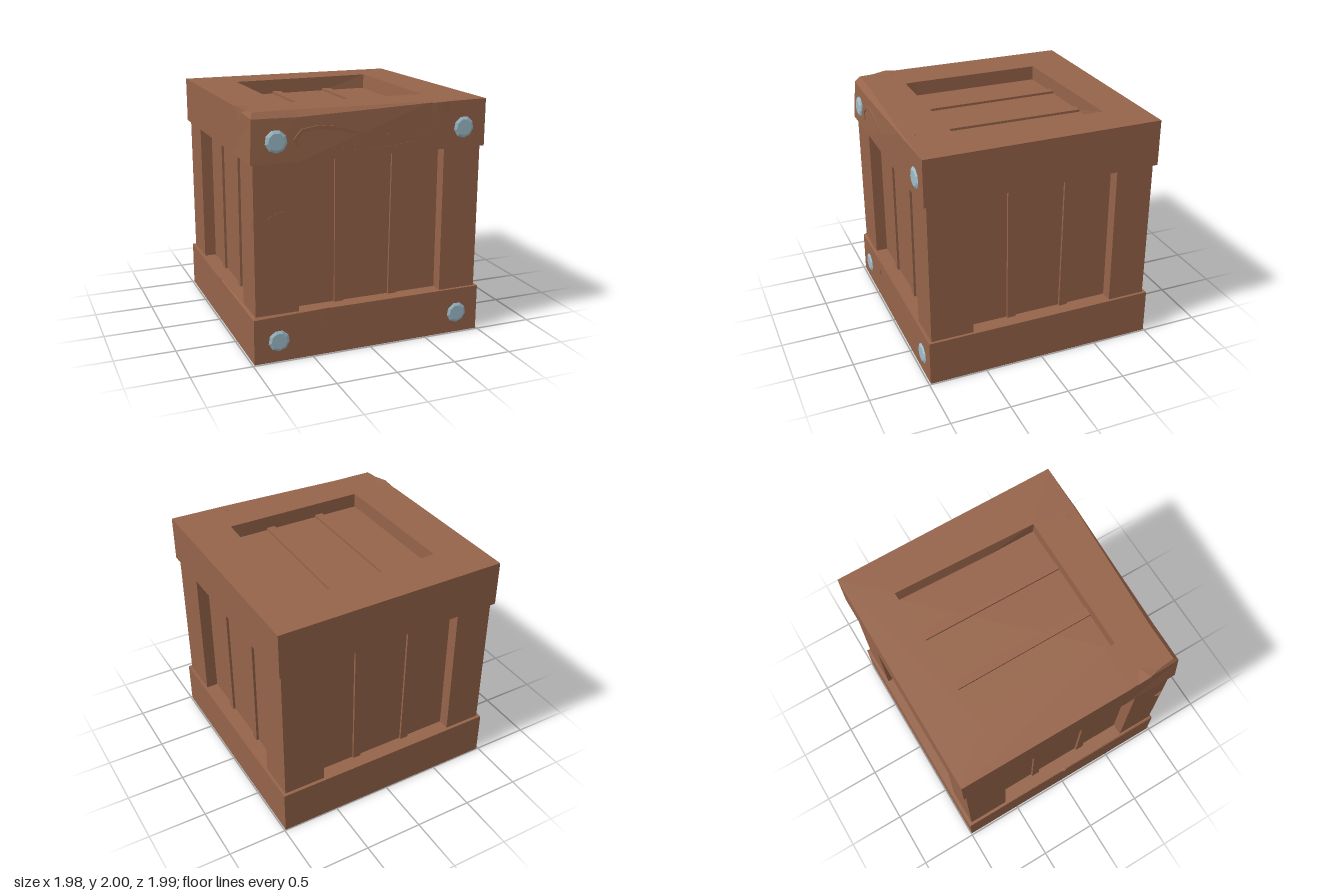
import * as THREE from 'three';
import { ConvexGeometry } from 'three/addons/geometries/ConvexGeometry.js';

const wood = new THREE.MeshStandardMaterial({ color: 0x96644a, name: 'wood' });
const steel = new THREE.MeshStandardMaterial({ color: 0x9fbecb, name: 'boltSteel' });

function add(parent, geometry, name, material = wood) {
  const mesh = new THREE.Mesh(geometry, material);
  mesh.name = name;
  parent.add(mesh);
  return mesh;
}

// Box given by its limits
function block(x0, x1, y0, y1, z0, z1) {
  return new THREE.BoxGeometry(x1 - x0, y1 - y0, z1 - z0)
    .translate((x0 + x1) / 2, (y0 + y1) / 2, (z0 + z1) / 2);
}

// Square ring from cross-sections that run up the outside, over the top and down the inside
function ring(sections) {
  const pos = [];
  sections.forEach((a, i) => {
    const b = sections[(i + 1) % sections.length];
    a.forEach((p, j) => {
      const k = (j + 1) % a.length;
      pos.push(...p, ...b[j], ...b[k], ...p, ...b[k], ...a[k]);
    });
  });
  const g = new THREE.BufferGeometry();
  g.setAttribute('position', new THREE.Float32BufferAttribute(pos, 3));
  g.computeVertexNormals();
  return g;
}

// One ring section: outer foot, worn shoulder, top edge, hole at top and at bottom
function section(y0, y1, [ox, oz], [ix, iz], shoulder = [ox, y1 - 0.004, oz], top = [ox, oz], rim = [ix, iz]) {
  return [[ox, y0, oz], shoulder, [top[0], y1, top[1]], [rim[0], y1, rim[1]], [ix, y0, iz]];
}

function hull(points) {
  return new ConvexGeometry(points.map(p => new THREE.Vector3(...p)));
}

// Thin flat shape on the front
function plate(points, z, depth) {
  const shape = new THREE.Shape(points.map(p => new THREE.Vector2(...p)));
  return new THREE.ExtrudeGeometry(shape, { depth, bevelEnabled: false }).translate(0, 0, z);
}

// Two battens on a panel facing +z, the right one leaning
function battens(parent, y0, y1, z, name) {
  const group = new THREE.Group();
  group.name = name;
  add(group, block(-0.272, -0.2, y0, y1, z - 0.02, z + 0.02), 'straightBatten');
  const g = block(0.21, 0.283, y0, y1, z - 0.02, z + 0.02);
  const p = g.attributes.position;
  for (let i = 0; i < p.count; i++) p.setX(i, p.getX(i) + (p.getY(i) > (y0 + y1) / 2 ? 0.008 : -0.008));
  g.computeVertexNormals();
  add(group, g, 'leaningBatten');
  parent.add(group);
  return group;
}

export function createModel() {
  const crate = new THREE.Group();
  crate.name = 'crate';

  // Inner panels
  add(crate, block(-0.86, 0.865, 0.11, 1.86, -0.868, 0.86), 'innerPanels');

  // Corner posts and battens, repeated on each side
  for (let i = 0; i < 4; i++) {
    const side = new THREE.Group();
    side.name = 'side' + (i + 1);
    side.position.set(0.003, 0, -0.004);
    side.rotation.y = i * Math.PI / 2;
    add(side, block(0.637, 0.963, 0.3, 1.7, 0.605, 0.963), 'cornerPost');
    battens(side, 0.3, 1.7, 0.863, 'sideBattens');
    crate.add(side);
  }
  const lid = battens(crate, -0.64, 0.64, 0, 'lidBattens');
  lid.rotation.x = -Math.PI / 2;
  lid.position.y = 1.86;

  // Upper frame, worn along the front edge and at the front left corner
  const u = (...a) => section(1.6, 1.985, ...a);
  add(crate, ring([
    u([-0.985, -0.995], [-0.61, -0.62]),
    u([-0.985, 0.5], [-0.61, 0.5]),
    u([-0.985, 0.985], [-0.605, 0.6], [-0.965, 1.94, 0.962], [-0.945, 0.92]),
    u([-0.6, 0.985], [-0.6, 0.6], [-0.6, 1.935, 0.967], [-0.6, 0.92]),
    u([0.48, 0.985], [0.48, 0.605], [0.48, 1.978, 0.984], [0.48, 0.972]),
    u([0.99, 0.985], [0.61, 0.607]),
    u([0.99, -0.995], [0.61, -0.62], undefined, undefined, [0.65, -0.66]),
  ]), 'upperFrame');

  // Lower frame, slightly worn at the front left
  const l = (...a) => section(0, 0.388, ...a);
  add(crate, ring([
    l([-0.985, -0.995], [-0.61, -0.62]),
    l([-0.985, 0.985], [-0.61, 0.61], [-0.983, 0.372, 0.983], [-0.97, 0.965]),
    l([-0.4, 0.985], [-0.4, 0.61]),
    l([0.99, 0.985], [0.61, 0.61]),
    l([0.99, -0.995], [0.61, -0.62]),
  ]), 'lowerFrame');

  // Bolts with chamfered heads
  for (const x of [-0.78, 0.797]) for (const y of [0.175, 1.765]) {
    const head = new THREE.CylinderGeometry(0.066, 0.088, 0.012, 9).rotateX(Math.PI / 2).toNonIndexed();
    head.computeVertexNormals();
    add(crate, head, 'boltHead', steel).position.set(x, y, 0.992);
    const shank = new THREE.CylinderGeometry(0.088, 0.088, 0.03, 9).rotateX(Math.PI / 2);
    add(crate, shank, 'boltRim', steel).position.set(x, y, 0.971);
  }

  // Carved grain on the upper front board
  add(crate, plate([
    [-0.6, 1.7], [-0.615, 1.77], [-0.56, 1.815], [-0.45, 1.835], [-0.32, 1.82], [-0.05, 1.755], [0.27, 1.72],
    [0.54, 1.755], [0.54, 1.785], [0.27, 1.75], [-0.05, 1.78], [-0.3, 1.85], [-0.44, 1.867], [-0.58, 1.845], [-0.645, 1.77],
  ], 0.96, 0.026), 'longGrain');
  add(crate, plate([
    [-0.37, 1.7], [-0.32, 1.66], [-0.08, 1.63], [0.18, 1.645], [0.34, 1.685], [0.15, 1.66], [-0.07, 1.65], [-0.3, 1.678],
  ], 0.96, 0.027), 'shortGrain');

  // Splintered dents on the edges
  add(crate, hull([
    [0.43, 1.98, 0.978], [0.51, 1.988, 0.87], [0.66, 1.98, 0.985], [0.665, 1.93, 0.984],
    [0.6, 1.89, 0.987], [0.54, 1.87, 0.986], [0.55, 1.975, 0.988],
  ]), 'frontEdgeDent');
  add(crate, hull([
    [-0.985, 1.984, 0.56], [-0.875, 1.985, 0.65], [-0.96, 1.984, 0.8], [-0.984, 1.995, 0.68],
    [-0.988, 1.88, 0.7], [-0.95, 1.97, 0.7],
  ]), 'leftEdgeDent');
  add(crate, hull([
    [-0.955, 1.2, 0.955], [-0.982, 1.14, 0.93], [-0.958, 1.06, 0.958], [-0.95, 1.14, 0.85],
  ]), 'postSplinter');
  add(crate, plate([[-0.84, 1.155], [-0.73, 1.222], [-0.84, 1.185]], 0.955, 0.007), 'postCrack');
  add(crate, plate([[-0.43, 0.39], [-0.41, 0.24], [-0.39, 0.375], [-0.345, 0.392]], 0.97, 0.018), 'lowerCrack');
  add(crate, hull([
    [-0.97, 0.388, -0.04], [-0.992, 0.39, 0.01], [-0.97, 0.388, 0.06], [-0.984, 0.27, 0.01], [-0.965, 0.392, 0.01],
  ]), 'lowerSplinter');
  return crate;
}
